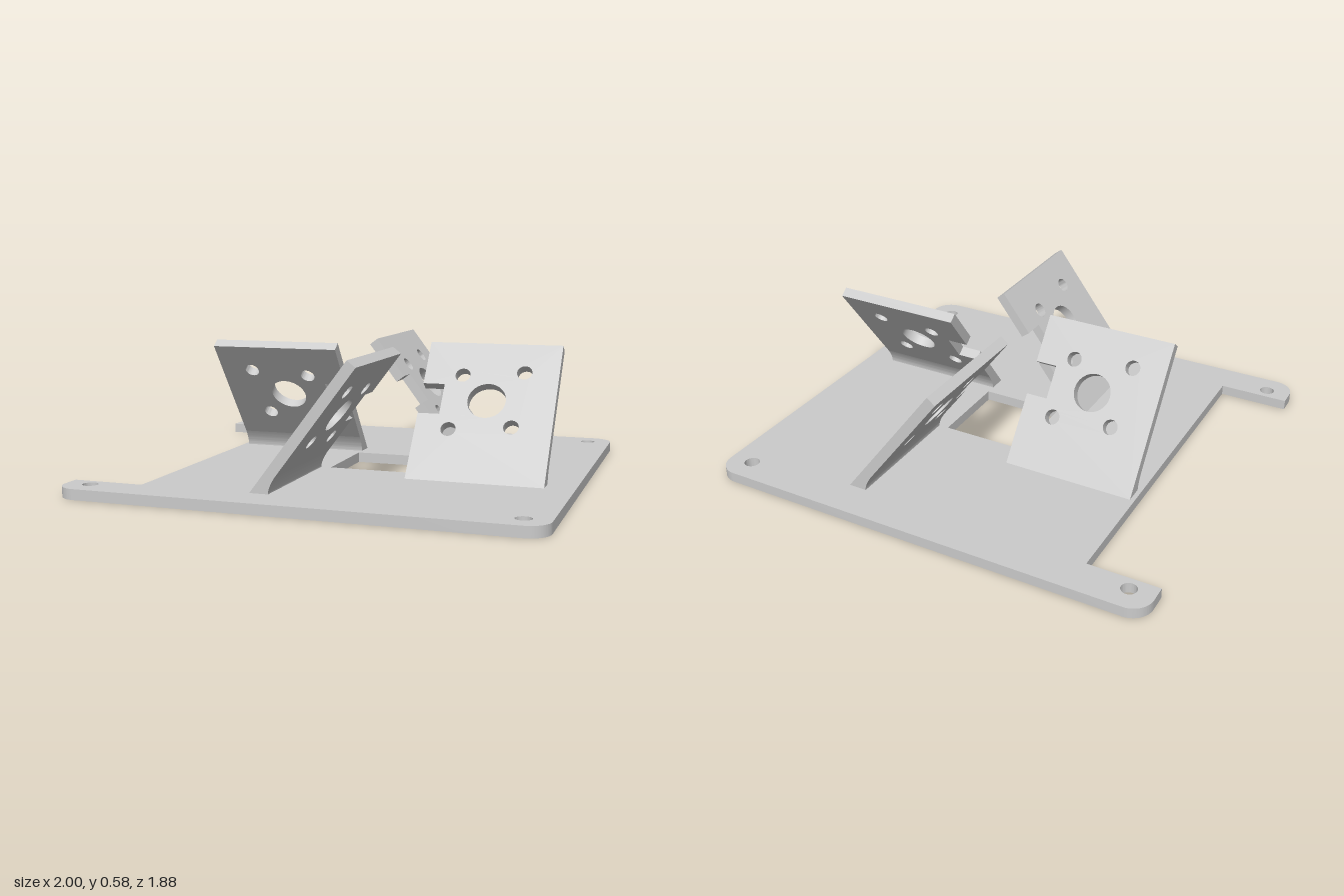
import * as THREE from 'three';
import { toCreasedNormals } from 'three/addons/utils/BufferGeometryUtils.js';

const T = 0.045;                      // sheet thickness
const HUB = 0.1025;                   // x of the square opening's centre
const INNER = 0.1875, OUTER = 0.773;  // radial extent of each bracket

const material = new THREE.MeshStandardMaterial({ color: 0xcccccc });

function circleHole(shape, x, y, r) {
  const hole = new THREE.Path();
  hole.absarc(x, y, r, 0, Math.PI * 2, true);
  shape.holes.push(hole);
}

function extrude(shape, depth) {
  const geometry = new THREE.ExtrudeGeometry(shape, { depth, bevelEnabled: false, curveSegments: 20 });
  return toCreasedNormals(geometry, 0.6);
}

function makeMesh(geometry, name) {
  const mesh = new THREE.Mesh(geometry, material);
  mesh.name = name;
  return mesh;
}

// Rounded base with a notch on the -x side, a square opening and corner holes
function basePlate() {
  const w = 1, h = 0.938, r = 0.09, nx = -0.69, ny = 0.775;
  const s = new THREE.Shape();
  s.moveTo(-w, -ny);
  s.lineTo(-w, -h + r);
  s.absarc(-w + r, -h + r, r, Math.PI, Math.PI * 1.5, false);
  s.absarc(w - r, -h + r, r, -Math.PI / 2, 0, false);
  s.absarc(w - r, h - r, r, 0, Math.PI / 2, false);
  s.absarc(-w + r, h - r, r, Math.PI / 2, Math.PI, false);
  s.lineTo(-w, ny);
  s.lineTo(nx, ny);
  s.lineTo(nx, -ny);
  s.closePath();

  const a = INNER;
  s.holes.push(new THREE.Path([[-a, -a], [-a, a], [a, a], [a, -a]]
    .map(([x, y]) => new THREE.Vector2(HUB + x, y))));
  for (const x of [-0.893, 0.893])
    for (const y of [-0.833, 0.833]) circleHole(s, x, y, 0.033);

  return makeMesh(extrude(s, T).rotateX(-Math.PI / 2), 'basePlate');
}

// Tilted motor plate: shape x runs outward from the hub, shape y up the slope
function motorPlate() {
  const length = 0.677, cw = 0.479, cv = 0.39;
  const s = new THREE.Shape([
    [INNER, 0], [OUTER, 0], [OUTER, length], [INNER, length],
    [INNER, cv + 0.074], [INNER + 0.096, cv + 0.074],
    [INNER + 0.096, cv - 0.074], [INNER, cv - 0.074],
  ].map(p => new THREE.Vector2(...p)));

  circleHole(s, cw, cv, 0.083);
  for (const [x, y] of [[-0.122, 0.122], [0.145, 0.145], [-0.145, -0.145], [0.122, -0.122]])
    circleHole(s, cw + x, cv + y, 0.033);

  const tilt = THREE.MathUtils.degToRad(52.8);
  const c = Math.cos(tilt), sn = Math.sin(tilt);
  const m = new THREE.Matrix4().makeBasis(
    new THREE.Vector3(0, 0, 1), new THREE.Vector3(c, sn, 0), new THREE.Vector3(-sn, c, 0));
  m.setPosition(-0.313 + sn * T, T - c * T, 0);
  return makeMesh(extrude(s, T).applyMatrix4(m), 'motorPlate');
}

// Curved foot under the overhanging side of the plate
function footFillet() {
  const s = new THREE.Shape();
  s.moveTo(-0.28, T - 0.01);
  s.lineTo(-0.2325, T - 0.01);
  s.lineTo(-0.2325, T);
  s.quadraticCurveTo(-0.2325, 0.078, -0.1875, 0.137);
  s.lineTo(-0.24, 0.09);
  s.closePath();
  return makeMesh(extrude(s, OUTER - INNER).translate(0, 0, INNER), 'footFillet');
}

export function createModel() {
  const model = new THREE.Group();
  model.name = 'motorMount';
  model.add(basePlate());

  // Four identical brackets turned about the square opening
  ['front', 'right', 'back', 'left'].forEach((side, i) => {
    const bracket = new THREE.Group();
    bracket.name = `${side}Bracket`;
    bracket.add(motorPlate(), footFillet());
    bracket.position.x = HUB;
    bracket.rotation.y = i * Math.PI / 2;
    model.add(bracket);
  });
  return model;
}
